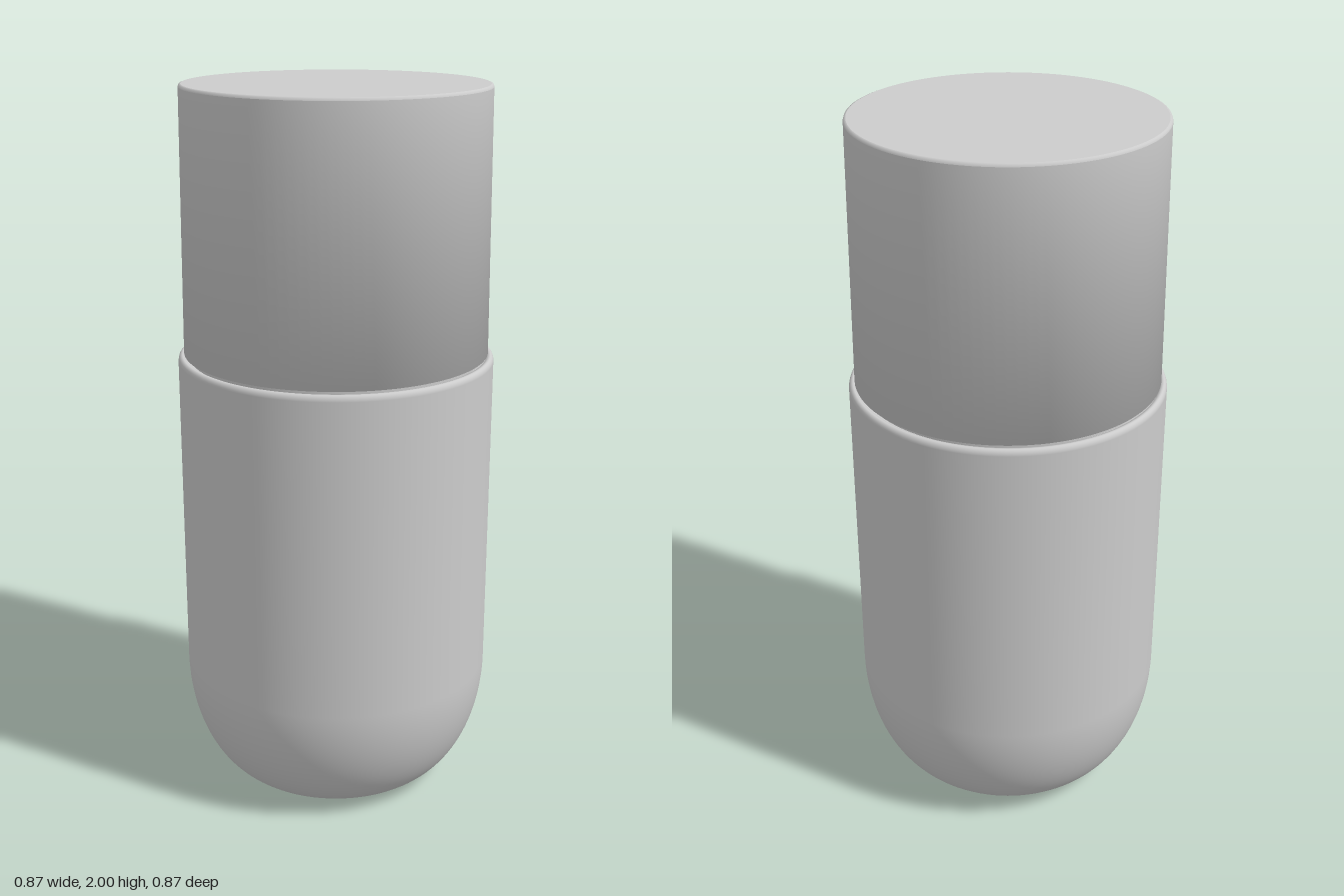
import * as THREE from 'three';

const SEGMENTS = 96;

// Revolve a list of [radius, height] pairs, running from bottom to top
function lathe(name, points, material) {
  const profile = points.map(([r, y]) => new THREE.Vector2(r, y));
  const mesh = new THREE.Mesh(new THREE.LatheGeometry(profile, SEGMENTS), material);
  mesh.name = name;
  return mesh;
}

export function createModel() {
  const grey = new THREE.MeshStandardMaterial({ color: 0xcccccc });
  grey.name = 'plain grey';
  const group = new THREE.Group();
  group.name = 'cappedBottle';

  // Body: shallow dished base, elliptical lower corner, straight wall, rounded rim
  const body = [[0, 0.03], [0.08, 0.027], [0.14, 0.018], [0.18, 0.007], [0.205, 0.001]];
  for (let i = 0; i <= 20; i++) {
    const a = (i / 20) * Math.PI / 2;
    body.push([0.225 + 0.212 * Math.sin(a), 0.36 * (1 - Math.cos(a))]);
  }
  body.push([0.437, 0.6], [0.437, 0.9], [0.437, 1.255]);
  for (let i = 1; i <= 5; i++) {
    const a = (i / 5) * Math.PI / 2;
    body.push([0.425 + 0.012 * Math.cos(a), 1.255 + 0.017 * Math.sin(a)]);
  }
  body.push([0.418, 1.27], [0.415, 1.262], [0.4, 1.262]);
  group.add(lathe('body', body, grey));

  // Neck hidden in the narrow gap under the cap
  group.add(lathe('neck', [[0.405, 1.255], [0.405, 1.285]], grey));

  // Cap: slightly tapered wall, its shading rolling under into the flat underside
  group.add(lathe('capWall', [[0, 1.278], [0.421, 1.278], [0.414, 1.992]], grey));

  // Small bevel and flat lid
  group.add(lathe('capBevel', [[0.414, 1.992], [0.412, 1.998], [0.407, 2]], grey));
  group.add(lathe('capTop', [[0.407, 2], [0, 2]], grey));

  return group;
}
